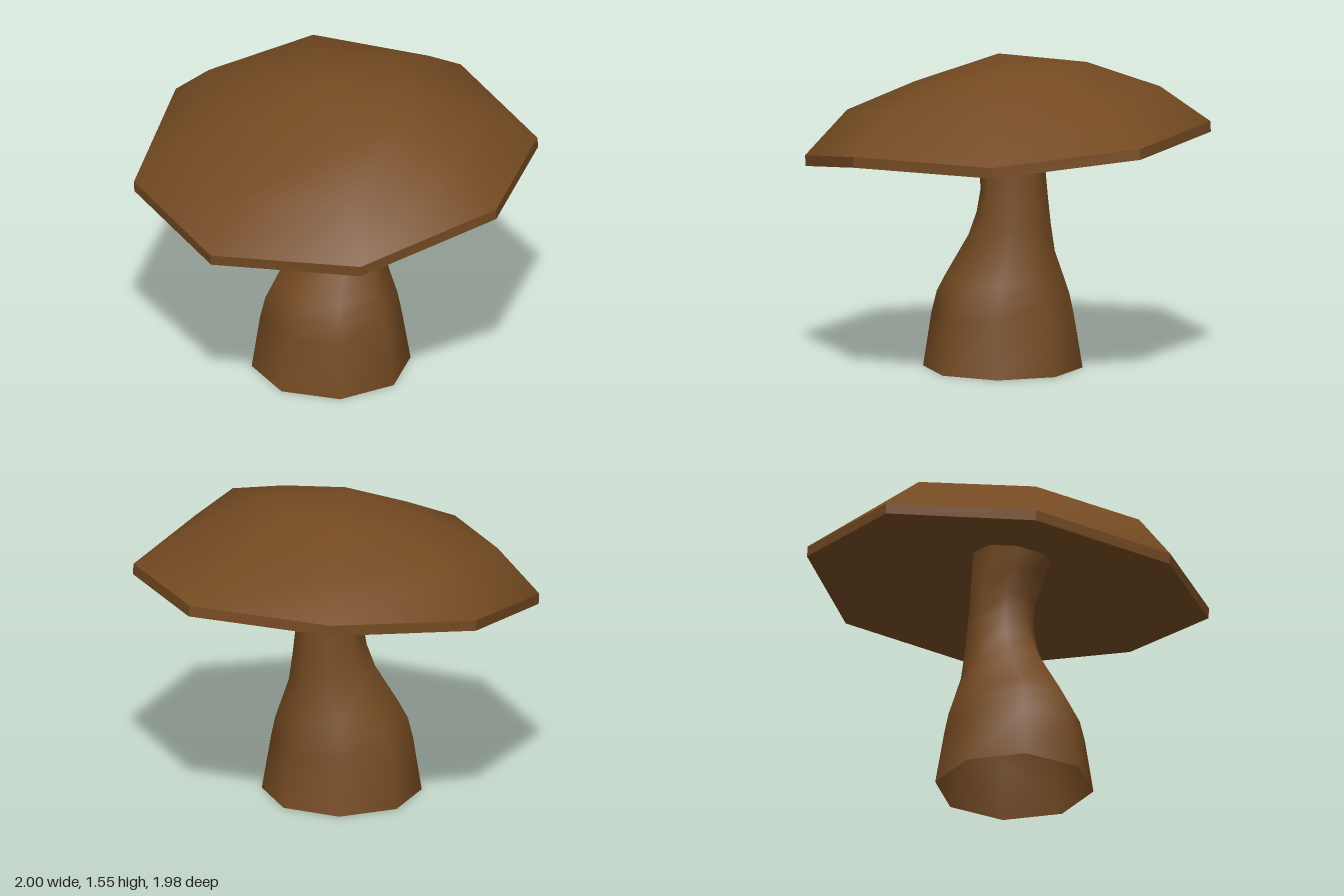
import * as THREE from 'three';

const SIDES = 8;

// Tilted octagonal ring from its front [z, y], side [x, z, y] and back [z, y] corners;
// twist lowers the back corner on +x and raises the one on -x
function ring(front, side, back, twist = 0) {
  const points = [];
  for (let k = 0; k < SIDES; k++) {
    const a = (k / SIDES) * Math.PI * 2;
    const c = Math.cos(a);
    const end = c > 0 ? front : back;
    const t = Math.abs(c);
    const lift = k === 3 ? -twist : k === 5 ? twist : 0;
    points.push([
      Math.sin(a) * side[0],
      side[1] + (end[0] - side[1]) * t,
      side[2] + (end[1] - side[2]) * t + lift,
    ]);
  }
  return points;
}

// Skin a list of rings; a ring with one point closes the surface
function loft(rings, flat = false) {
  const positions = [];
  const index = [];
  const starts = rings.map((r) => {
    const start = positions.length / 3;
    r.forEach(([x, z, y]) => positions.push(x, y, z));
    return start;
  });
  for (let j = 0; j < rings.length - 1; j++) {
    const id = (row, k) => starts[row] + (k % rings[row].length);
    for (let k = 0; k < SIDES; k++) {
      const a = id(j, k), b = id(j, k + 1), c = id(j + 1, k + 1), d = id(j + 1, k);
      if (a !== b) index.push(a, b, c);
      if (c !== d) index.push(a, c, d);
    }
  }
  let geometry = new THREE.BufferGeometry();
  geometry.setAttribute('position', new THREE.Float32BufferAttribute(positions, 3));
  geometry.setIndex(index);
  if (flat) geometry = geometry.toNonIndexed();
  geometry.computeVertexNormals();
  return geometry;
}

export function createModel() {
  const model = new THREE.Group();
  model.name = 'mushroom';
  const brown = new THREE.MeshStandardMaterial({ color: 0x744a22, side: THREE.DoubleSide });
  brown.name = 'earthBrown';

  const add = (parent, name, geometry) => {
    const mesh = new THREE.Mesh(geometry, brown);
    mesh.name = name;
    parent.add(mesh);
  };

  // Stem, open at the foot: front z, front y, back z, back y, half width
  const stem = [
    [0.43, 0, -0.353, 0, 0.391],
    [0.385, 0.27, -0.303, 0.27, 0.352],
    [0.36, 0.375, -0.285, 0.37, 0.327],
    [0.315, 0.46, -0.265, 0.45, 0.29],
    [0.18, 0.68, -0.235, 0.57, 0.215],
    [0.135, 0.79, -0.22, 0.71, 0.186],
    [0.115, 0.89, -0.205, 0.86, 0.17],
    [0.125, 1.0, -0.195, 1.0, 0.16],
    [0.175, 1.11, -0.19, 1.13, 0.165],
    [0.24, 1.23, -0.185, 1.28, 0.17],
  ].map(([fz, fy, bz, by, w]) =>
    ring([fz, fy], [w, (fz + bz) / 2, (fy + by) / 2], [bz, by]));
  add(model, 'stem', loft(stem));

  // Cap: tilted forward, slightly twisted at the back, hollow below, with a thin rim
  const cap = new THREE.Group();
  cap.name = 'cap';
  model.add(cap);
  const twist = 0.033;
  const rimBottom = ring([0.985, 0.94], [1, 0, 1.112], [-0.99, 1.168], twist);
  const rimTop = ring([0.99, 0.993], [1, 0, 1.165], [-0.983, 1.22], twist);
  const shoulder = ring([0.8, 1.23], [0.77, 0.03, 1.36], [-0.73, 1.375], twist);
  const crown = ring([0.47, 1.39], [0.43, 0.055, 1.463], [-0.36, 1.538]);
  add(cap, 'capTop', loft([rimTop, shoulder, crown, [[0, 0.07, 1.552]]]));
  add(cap, 'capRim', loft([rimBottom, rimTop], true));
  add(cap, 'capUnderside', loft([[[0, 0, 1.28]], rimBottom]));

  return model;
}
